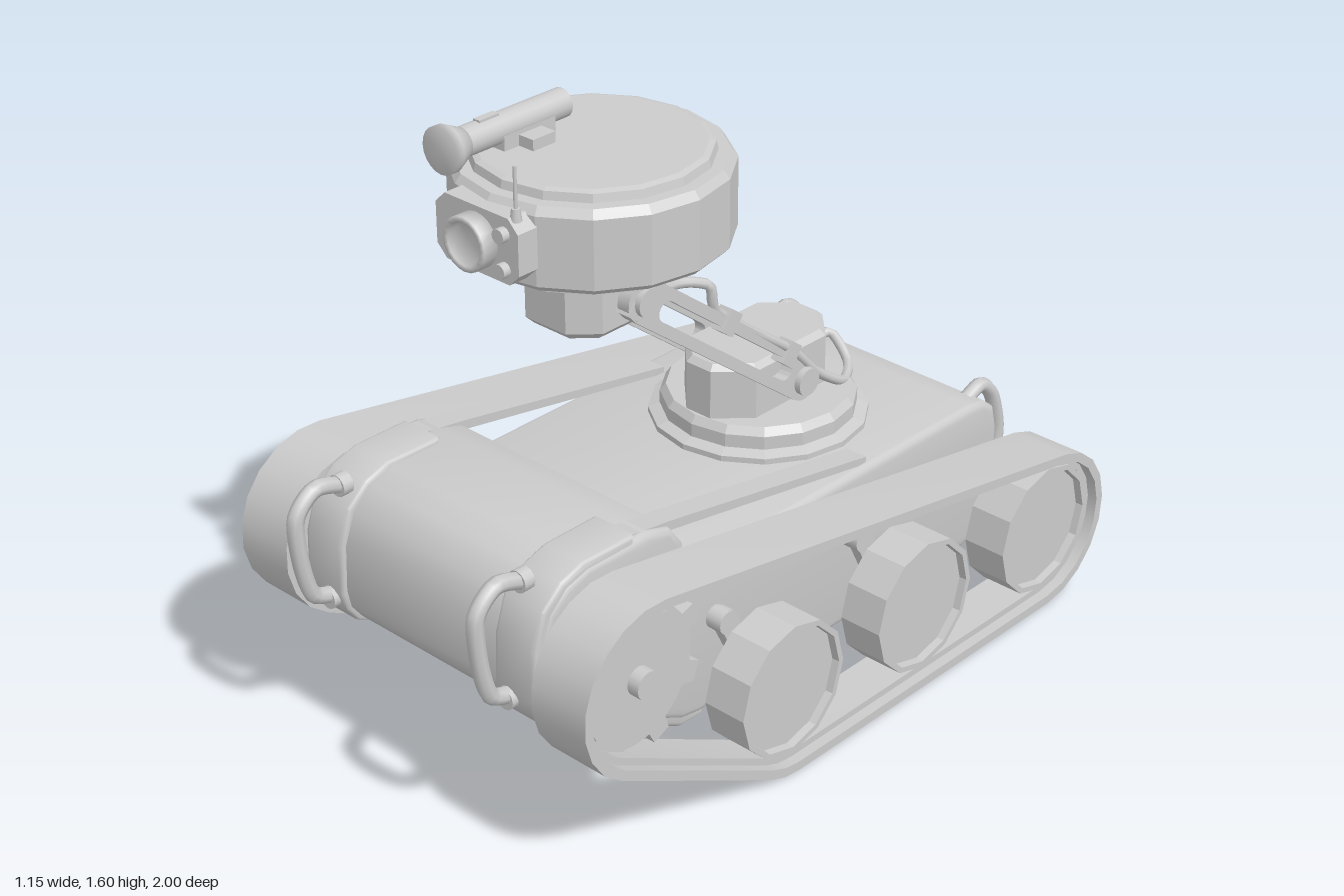
import * as THREE from 'three';
import { toCreasedNormals } from 'three/addons/utils/BufferGeometryUtils.js';

const mat = new THREE.MeshStandardMaterial({ color: 0xcccccc, side: THREE.DoubleSide });
const flatMat = new THREE.MeshStandardMaterial({ color: 0xcccccc, flatShading: true });
const V2 = (p) => p.map(([a, b]) => new THREE.Vector2(a, b));

function add(parent, name, geo, x = 0, y = 0, z = 0, m = mat) {
  const mesh = new THREE.Mesh(geo, m);
  mesh.name = name;
  mesh.position.set(x, y, z);
  parent.add(mesh);
  return mesh;
}
const box = (w, h, d) => new THREE.BoxGeometry(w, h, d);
// cylinders lying along x or z
const cylX = (r, w, n = 16) => new THREE.CylinderGeometry(r, r, w, n).rotateZ(Math.PI / 2);
const cylZ = (r, w, n = 16, r2 = r) => new THREE.CylinderGeometry(r, r2, w, n).rotateX(Math.PI / 2);
// outline in (z, y), extruded across x and centred on x = 0
function slab(points, width, { hole, bevel = 0 } = {}) {
  const shape = new THREE.Shape(V2(points));
  if (hole) shape.holes.push(new THREE.Path(V2(hole)));
  const geo = new THREE.ExtrudeGeometry(shape, {
    depth: width - 2 * bevel, bevelEnabled: bevel > 0, bevelSize: bevel,
    bevelThickness: bevel, bevelOffset: -bevel, bevelSegments: 3,
  });
  geo.translate(0, 0, -(width - 2 * bevel) / 2).rotateY(-Math.PI / 2);
  return toCreasedNormals(geo, 0.6);
}
const tube = (pts, r, seg = 28) => new THREE.TubeGeometry(
  new THREE.CatmullRomCurve3(pts.map((p) => new THREE.Vector3(...p)), false, 'catmullrom', 0.4), seg, r, 8);
const lathe = (pts, n) => new THREE.LatheGeometry(V2(pts), n);

// belt outline: constant offset around the three end wheels, in (z, y)
function beltLoop(r) {
  const c = [[-0.78, 0.22], [0.21, 0.22], [0.71, 0.49]];
  const out = [];
  c.forEach((p, i) => {
    const prev = c[(i + 2) % 3], next = c[(i + 1) % 3];
    const a0 = Math.atan2(p[1] - prev[1], p[0] - prev[0]) - Math.PI / 2;
    let a1 = Math.atan2(next[1] - p[1], next[0] - p[0]) - Math.PI / 2;
    while (a1 < a0) a1 += Math.PI * 2;
    const n = Math.max(2, Math.round((a1 - a0) / 0.32));
    for (let k = 0; k <= n; k++) {
      const a = a0 + ((a1 - a0) * k) / n;
      out.push([p[0] + r * Math.cos(a), p[1] + r * Math.sin(a)]);
    }
  });
  return out;
}

function stadium(len, r, start = 0) {
  const out = [];
  for (let k = 0; k <= 8; k++) out.push([len + r * Math.sin((k * Math.PI) / 8), -r * Math.cos((k * Math.PI) / 8)]);
  for (let k = 0; k <= 8; k++) out.push([start - r * Math.sin((k * Math.PI) / 8), r * Math.cos((k * Math.PI) / 8)]);
  return out;
}

function makeTrack(s) {
  const g = new THREE.Group();
  g.name = s > 0 ? 'leftTrack' : 'rightTrack';
  const cx = s * 0.495;
  add(g, 'belt', slab(beltLoop(0.22), 0.165, { hole: beltLoop(0.195) }), cx);
  add(g, 'beltGuide', slab(beltLoop(0.197), 0.11, { hole: beltLoop(0.177) }), cx);
  // road wheels with swing arms
  const wheel = lathe([[0, -0.04], [0.163, -0.04], [0.165, -0.06], [0.18, -0.06],
    [0.18, 0.06], [0.165, 0.06], [0.163, 0.04], [0, 0.04]], 12).rotateZ(Math.PI / 2);
  for (const z of [0.21, -0.285, -0.78]) {
    add(g, 'roadWheel', wheel, cx, 0.22, z, flatMat);
    add(g, 'wheelAxle', cylX(0.04, 0.12), s * 0.42, 0.22, z);
    add(g, 'swingArm', slab(stadium(0.21, 0.028), 0.03), s * 0.415, 0.22, z).rotation.x = -1.1;
    add(g, 'swingArmPivot', cylX(0.03, 0.06), s * 0.405, 0.405, z + 0.1);
  }
  // toothed drive wheel
  const gear = [];
  for (let i = 0; i < 8; i++) {
    for (const [d, r] of [[0, 0.18], [0.2, 0.18], [0.42, 0.18], [0.46, 0.215], [0.7, 0.215], [0.74, 0.18]]) {
      const a = i * Math.PI / 4 + d - 0.2;
      gear.push([r * Math.cos(a), r * Math.sin(a)]);
    }
  }
  add(g, 'driveSprocket', slab(gear, 0.045), cx, 0.49, 0.71);
  add(g, 'driveDisc', cylX(0.165, 0.065, 20), cx, 0.49, 0.71);
  add(g, 'driveHub', cylX(0.036, 0.18), s * 0.47, 0.49, 0.71);
  return g;
}

function makeHull() {
  const g = new THREE.Group();
  g.name = 'hull';
  add(g, 'hullBody', slab([[-0.65, 0.15], [-0.72, 0.17], [-0.77, 0.24], [-0.775, 0.47], [-0.76, 0.53], [-0.72, 0.56],
    [-0.66, 0.57], [0.4, 0.57], [0.41, 0.65], [0.45, 0.705], [0.53, 0.73], [0.72, 0.73], [0.79, 0.71], [0.845, 0.66],
    [0.875, 0.58], [0.88, 0.46], [0.87, 0.41], [0.84, 0.37], [0.42, 0.16], [0.36, 0.15]], 0.78, { bevel: 0.02 }));
  add(g, 'rearPanel', box(0.55, 0.24, 0.02), 0, 0.36, -0.775);
  for (const s of [-1, 1]) {
    // bands wrapped around the nose
    add(g, 'noseBand', slab([[0.57, 0.6], [0.57, 0.742], [0.73, 0.742], [0.8, 0.72], [0.858, 0.67], [0.888, 0.58],
      [0.893, 0.45], [0.88, 0.4], [0.85, 0.36], [0.42, 0.14], [0.34, 0.138], [0.34, 0.25]], 0.13, { bevel: 0.012 }), s * 0.32);
    // sloping bars from the nose to the deck
    add(g, 'deckBar', slab([[0.57, 0.735], [0.44, 0.715], [-0.26, 0.585], [-0.26, 0.565], [0.44, 0.69], [0.57, 0.71]], 0.06), s * 0.34);
    // grab handles
    add(g, 'frontHandle', tube([[s * 0.3, 0.71, 0.83], [s * 0.3, 0.735, 0.92], [s * 0.3, 0.68, 0.98],
      [s * 0.3, 0.56, 0.975], [s * 0.3, 0.46, 0.945], [s * 0.3, 0.43, 0.87]], 0.021));
    add(g, 'rearHandle', tube([[s * 0.33, 0.55, -0.71], [s * 0.33, 0.568, -0.77], [s * 0.33, 0.52, -0.82],
      [s * 0.33, 0.42, -0.85], [s * 0.33, 0.35, -0.84], [s * 0.33, 0.33, -0.76]], 0.02));
    for (const [y, z] of [[0.43, 0.89], [0.715, 0.84], [0.34, -0.78]]) {
      add(g, 'handleFoot', cylZ(0.028, 0.03, 12), s * (z > 0 ? 0.3 : 0.33), y, z);
    }
  }
  return g;
}

// long octagonal block in plan, with scaled ends
function octBlock(hx, hz, cut, h, bevel) {
  const p = [[hx, -hz + cut], [hx, hz - cut], [hx - cut, hz], [cut - hx, hz], [-hx, hz - cut], [-hx, cut - hz], [cut - hx, -hz], [hx - cut, -hz]];
  const geo = new THREE.ExtrudeGeometry(new THREE.Shape(V2(p)), {
    depth: h - bevel, bevelEnabled: true, bevelSize: bevel, bevelThickness: bevel, bevelOffset: -bevel, bevelSegments: 1 });
  return toCreasedNormals(geo.rotateX(-Math.PI / 2), 0.3);
}

function makeArm() {
  const g = new THREE.Group();
  g.name = 'liftingArm';
  // turntable
  add(g, 'turntable', lathe([[0, 0.56], [0.28, 0.56], [0.28, 0.585], [0.25, 0.595], [0.25, 0.63], [0.235, 0.65], [0, 0.65]], 16), 0, 0, -0.28, flatMat);
  add(g, 'armBase', octBlock(0.12, 0.21, 0.08, 0.15, 0.015), 0, 0.645, -0.265);
  const len = 0.71, tilt = Math.atan2(0.43, 0.565);
  for (const s of [-1, 1]) {
    add(g, 'armLink', slab(stadium(len, 0.055), 0.035, { hole: stadium(len - 0.09, 0.026, 0.09) }),
      s * 0.145, 0.72, -0.265).rotation.x = -tilt;
    add(g, 'lowerPivot', cylX(0.037, 0.09), s * 0.135, 0.72, -0.265);
    add(g, 'upperPivot', cylX(0.037, 0.1), s * 0.13, 1.15, 0.3);
    add(g, 'upperPivotBlock', box(0.045, 0.1, 0.07), s * 0.143, 1.15, 0.3).rotation.x = -tilt;
  }
  // cable running up the left link
  add(g, 'armCable', tube([[0.02, 0.7, -0.46], [0.03, 0.71, -0.52], [0.09, 0.65, -0.52], [0.15, 0.65, -0.43], [0.155, 0.72, -0.32],
    [0.155, 0.82, -0.22], [0.15, 0.93, -0.07], [0.15, 1.03, 0.05], [0.15, 1.1, 0.07], [0.12, 1.12, 0.13], [0.08, 1.1, 0.18]], 0.013, 60));
  for (const [y, z] of [[0.815, -0.21], [0.985, 0.01]]) {
    add(g, 'cableClip', box(0.04, 0.06, 0.045), 0.15, y, z).rotation.x = -tilt;
  }
  return g;
}

function makeHead() {
  const g = new THREE.Group();
  g.name = 'sensorHead';
  // neck narrows towards its foot
  const neck = octBlock(0.125, 0.16, 0.06, 0.2, 0.02);
  add(g, 'neck', neck, 0, 1.09, 0.3);
  add(g, 'headDrum', lathe([[0, 1.25], [0.28, 1.25], [0.28, 1.265], [0.315, 1.27], [0.33, 1.285], [0.33, 1.455], [0.315, 1.475],
    [0.285, 1.475], [0.28, 1.495], [0.265, 1.5], [0, 1.5]], 16), 0, 0, 0.3, flatMat);
  add(g, 'sidePanel', box(0.02, 0.17, 0.2), -0.325, 1.365, 0.3);
  add(g, 'underLug', box(0.11, 0.02, 0.09), -0.22, 1.25, 0.38);
  // camera block
  const face = [[-0.13, -0.05], [-0.1, -0.08], [0.1, -0.08], [0.13, -0.05], [0.13, 0.05], [0.1, 0.08], [-0.1, 0.08], [-0.13, 0.05]];
  add(g, 'cameraBlock', new THREE.ExtrudeGeometry(new THREE.Shape(V2(face)), { depth: 0.08, bevelEnabled: false }), 0, 1.38, 0.58);
  add(g, 'lensBarrel', lathe([[0, 0], [0.066, 0], [0.066, 0.045], [0.052, 0.045], [0.046, 0.025], [0, 0.025]], 20).rotateX(Math.PI / 2), 0, 1.38, 0.655);
  for (const y of [1.335, 1.42]) add(g, 'sensorKnob', cylZ(0.018, 0.03, 12), 0.087, y, 0.665);
  add(g, 'antennaBase', new THREE.CylinderGeometry(0.01, 0.014, 0.03, 8), 0.105, 1.465, 0.64);
  add(g, 'antenna', new THREE.CylinderGeometry(0.004, 0.005, 0.12, 8), 0.105, 1.52, 0.64);
  // sight tube on top
  add(g, 'sightTube', cylZ(0.036, 0.33), -0.13, 1.543, 0.43);
  add(g, 'sightHood', lathe([[0, 0], [0.036, 0], [0.057, 0.045], [0.057, 0.065], [0, 0.065]], 20).rotateX(Math.PI / 2), -0.13, 1.543, 0.575);
  add(g, 'sightMount', box(0.07, 0.05, 0.16), -0.13, 1.512, 0.4);
  add(g, 'sightClamp', box(0.16, 0.03, 0.07), -0.13, 1.512, 0.4);
  add(g, 'sightSwitch', box(0.02, 0.02, 0.06), -0.13, 1.573, 0.5);
  // rear cable duct and cables
  add(g, 'cableDuct', slab([[0, 1.44], [-0.03, 1.44], [-0.11, 1.335], [-0.11, 1.315], [-0.07, 1.345], [0, 1.36]], 0.085));
  for (const s of [-1, 1]) {
    add(g, 'headCable', tube([[s * 0.022, 1.34, -0.085], [s * 0.022, 1.31, -0.105], [s * 0.022, 1.23, -0.1],
      [s * 0.025, 1.19, -0.05], [s * 0.035, 1.175, 0.05], [s * 0.04, 1.17, 0.16]], 0.014));
  }
  return g;
}

export function createModel() {
  const model = new THREE.Group();
  model.name = 'trackedRobot';
  model.add(makeHull(), makeTrack(1), makeTrack(-1), makeArm(), makeHead());
  return model;
}
